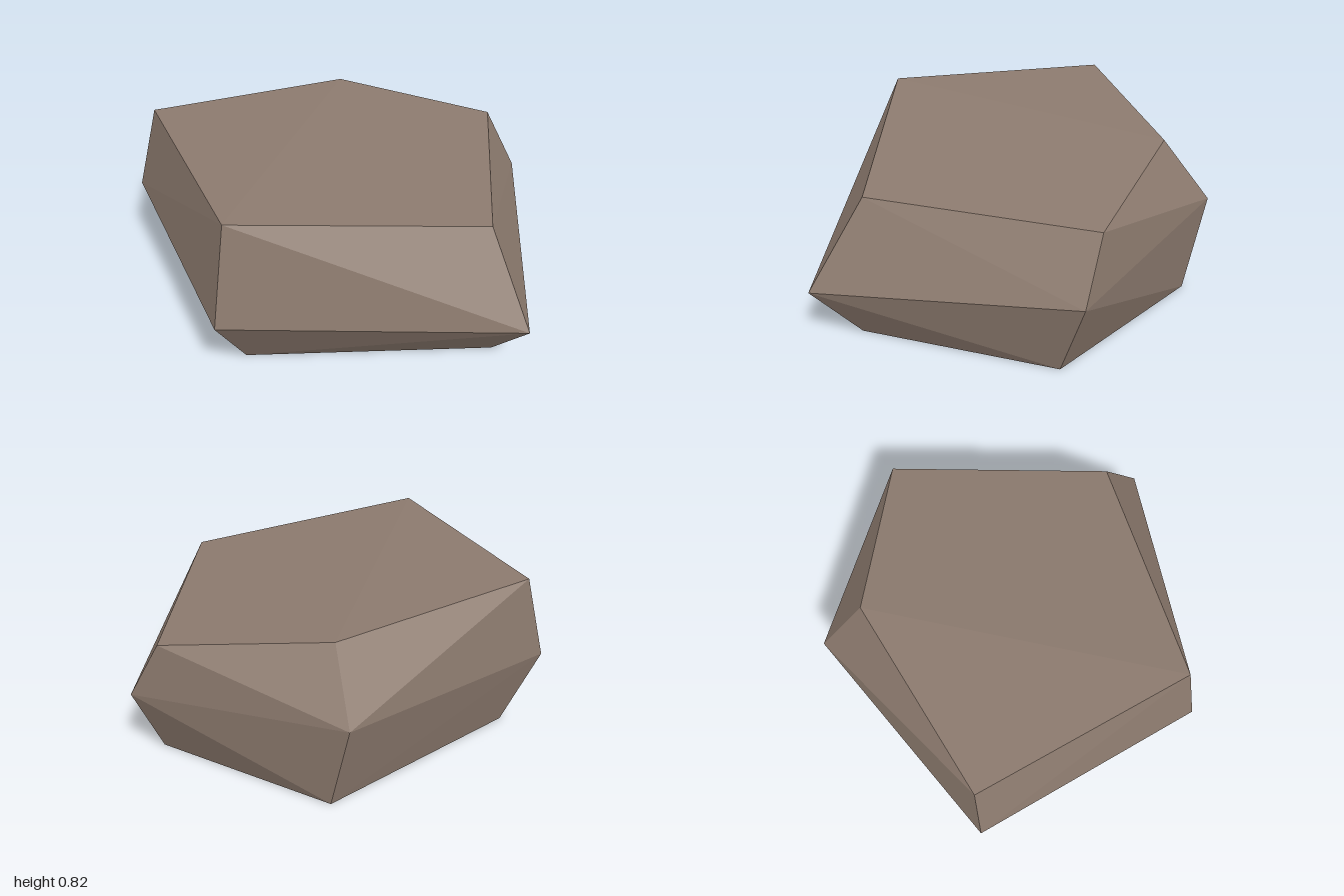
import * as THREE from 'three';
import { ConvexGeometry } from 'three/addons/geometries/ConvexGeometry.js';

export function createModel() {
  const group = new THREE.Group();
  group.name = 'rock';

  const stone = new THREE.MeshStandardMaterial({ color: 0x8c7a6e });
  stone.name = 'brown stone';

  // Three five-cornered rings: flat base, wide waist, sloping top
  const base = [[-0.83, 0, -0.21], [-0.42, 0, 0.685], [0.74, 0, 0.66], [0.885, 0, -0.29], [0.095, 0, -0.805]];
  const waist = [[-1, 0.397, -0.23], [-0.53, 0.337, 0.893], [0.855, 0.257, 0.857], [0.997, 0.385, -0.405], [0.02, 0.467, -0.897]];
  const top = [[-0.892, 0.822, -0.237], [-0.475, 0.822, 0.802], [0.69, 0.675, 0.627], [0.845, 0.675, -0.455], [0.062, 0.778, -0.667]];

  // Faceted boulder wrapped around the rings
  const corners = [...base, ...waist, ...top].map((p) => new THREE.Vector3(...p));
  const boulder = new THREE.Mesh(new ConvexGeometry(corners), stone);
  boulder.name = 'boulder';
  group.add(boulder);

  return group;
}
